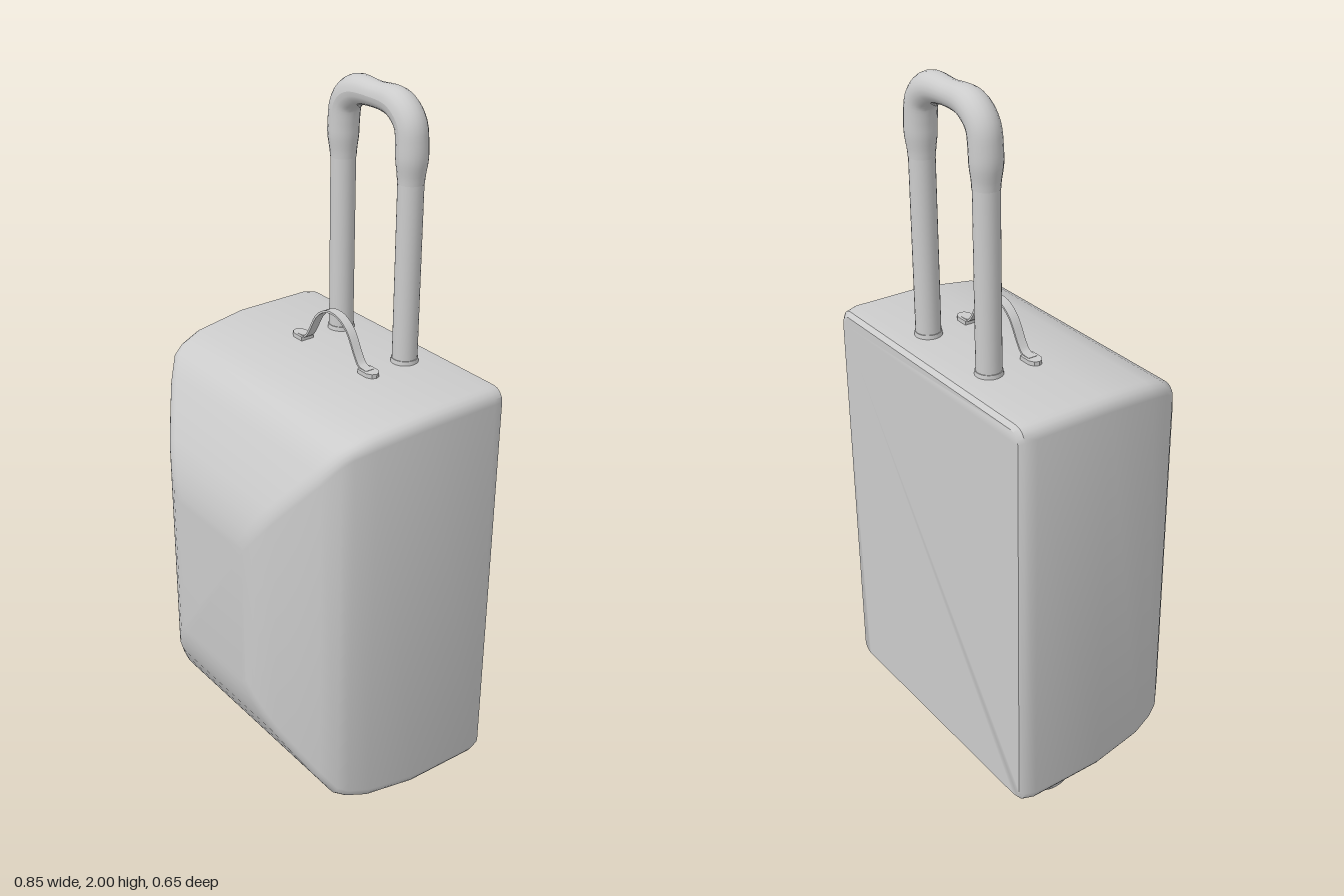
import * as THREE from 'three';
import { toCreasedNormals } from 'three/addons/utils/BufferGeometryUtils.js';

const material = new THREE.MeshStandardMaterial({ color: 0xcccccc });
const MID_Y = 0.695;

function add(parent, name, geometry, x = 0, y = 0, z = 0) {
  const mesh = new THREE.Mesh(geometry, material);
  mesh.name = name;
  mesh.position.set(x, y, z);
  parent.add(mesh);
  return mesh;
}

// Rounded rectangle, counter-clockwise seen from the front
function section([z, w, h, r]) {
  const ring = [];
  [[1, 1], [-1, 1], [-1, -1], [1, -1]].forEach(([sx, sy], corner) => {
    for (let k = 0; k <= 4; k++) {
      const a = (corner + k / 4) * Math.PI / 2;
      ring.push([sx * (w - r) + r * Math.cos(a), MID_Y + sy * (h - r) + r * Math.sin(a), z]);
    }
  });
  return ring;
}

// Suitcase shell: cross-sections lofted from back to front
function shellGeometry() {
  const rings = [
    [-0.323, 0.405, 0.578, 0.03], [-0.312, 0.417, 0.59, 0.035], [-0.28, 0.425, 0.594, 0.035],
    [-0.06, 0.425, 0.592, 0.035], [0.09, 0.411, 0.575, 0.035], [0.15, 0.396, 0.555, 0.03],
    [0.18, 0.384, 0.538, 0.03], [0.215, 0.349, 0.485, 0.03], [0.25, 0.302, 0.425, 0.03],
    [0.287, 0.25, 0.357, 0.03], [0.305, 0.218, 0.312, 0.03], [0.317, 0.188, 0.268, 0.025],
    [0.323, 0.155, 0.225, 0.02],
  ].map(section);
  const n = rings[0].length;
  const points = rings.flat();
  const index = [];
  for (let s = 0; s < rings.length - 1; s++) {
    for (let i = 0; i < n; i++) {
      const a = s * n + i, b = s * n + (i + 1) % n;
      index.push(a, b, b + n, a, b + n, a + n);
    }
  }
  // Flat back and front panels
  const last = (rings.length - 1) * n;
  for (let i = 1; i < n - 1; i++) {
    index.push(0, i + 1, i, last, last + i, last + i + 1);
  }
  const g = new THREE.BufferGeometry();
  g.setAttribute('position', new THREE.Float32BufferAttribute(points.flat(), 3));
  g.setIndex(index);
  return toCreasedNormals(g, 0.65);
}

// Grip tube: slimmer at the ends and in the middle
function gripGeometry() {
  const half = [[0.138, 1.775], [0.138, 1.87], [0.127, 1.925], [0.085, 1.96]];
  const path = new THREE.CatmullRomCurve3([
    ...half.map(([x, y]) => new THREE.Vector3(-x, y, 0)),
    new THREE.Vector3(0, 1.966, 0),
    ...half.reverse().map(([x, y]) => new THREE.Vector3(x, y, 0)),
  ], false, 'centripetal');
  const rings = 48, sides = 20;
  const g = new THREE.TubeGeometry(path, rings, 1, sides, false);
  const p = g.attributes.position, v = new THREE.Vector3();
  for (let i = 0; i <= rings; i++) {
    const t = i / rings, c = path.getPointAt(t);
    const taper = THREE.MathUtils.smoothstep(Math.min(t, 1 - t), 0, 0.12);
    const waist = THREE.MathUtils.smoothstep(Math.abs(c.x), 0, 0.11);
    const r = Math.min(0.035 + 0.007 * taper, 0.034 + 0.008 * waist);
    for (let j = 0; j <= sides; j++) {
      const k = i * (sides + 1) + j;
      v.fromBufferAttribute(p, k).sub(c).multiplyScalar(r).add(c);
      p.setXYZ(k, v.x, v.y, v.z);
    }
  }
  g.computeVertexNormals();
  return g;
}

// Thin arched ribbon for the carry strap
function strapGeometry() {
  const half = [[0.15, 1.297], [0.12, 1.301], [0.1, 1.325], [0.07, 1.376], [0.035, 1.403]];
  const curve = new THREE.SplineCurve([
    ...half.map(([x, y]) => new THREE.Vector2(-x, y)),
    new THREE.Vector2(0, 1.41),
    ...half.reverse().map(([x, y]) => new THREE.Vector2(x, y)),
  ]);
  const outer = [], inner = [];
  for (let i = 0; i <= 40; i++) {
    const c = curve.getPoint(i / 40), t = curve.getTangent(i / 40);
    outer.push(new THREE.Vector2(c.x - t.y * 0.003, c.y + t.x * 0.003));
    inner.push(new THREE.Vector2(c.x + t.y * 0.003, c.y - t.x * 0.003));
  }
  const shape = new THREE.Shape([...outer, ...inner.reverse()]);
  const g = new THREE.ExtrudeGeometry(shape, { depth: 0.026, bevelEnabled: false });
  return toCreasedNormals(g.translate(0, 0, -0.013), 0.6);
}

// Strap end tab, pointing along +x
function tabGeometry() {
  const shape = new THREE.Shape([
    [0.123, -0.02], [0.16, -0.02], [0.174, -0.012], [0.179, 0],
    [0.174, 0.012], [0.16, 0.02], [0.123, 0.02],
  ].map(([x, y]) => new THREE.Vector2(x, y)));
  return new THREE.ExtrudeGeometry(shape, { depth: 0.014, bevelEnabled: false }).rotateX(-Math.PI / 2);
}

export function createModel() {
  const model = new THREE.Group();
  model.name = 'suitcase';
  add(model, 'shell', shellGeometry());

  // Telescopic handle
  const handle = new THREE.Group();
  handle.name = 'pullHandle';
  handle.position.z = -0.217;
  model.add(handle);
  for (const side of [1, -1]) {
    add(handle, 'handleRod', new THREE.CylinderGeometry(0.034, 0.034, 0.54, 24), side * 0.138, 1.54);
    add(handle, 'rodCollar', new THREE.CylinderGeometry(0.036, 0.038, 0.016, 24), side * 0.138, 1.292);
  }
  add(handle, 'grip', gripGeometry());

  // Carry strap
  const strap = new THREE.Group();
  strap.name = 'carryStrap';
  strap.position.z = -0.09;
  model.add(strap);
  add(strap, 'strapArch', strapGeometry());
  for (const side of [1, -1]) {
    add(strap, 'strapTab', tabGeometry(), 0, 1.285).rotation.y = side > 0 ? 0 : Math.PI;
  }

  // Narrow rounded wheels under the back
  for (const x of [0.315, -0.325]) {
    add(model, 'wheel', new THREE.SphereGeometry(1, 28, 20), x, 0.083, -0.148).scale.set(0.036, 0.079, 0.078);
  }

  // Rest on the ground
  const box = new THREE.Box3().setFromObject(model);
  for (const part of model.children) part.position.y -= box.min.y;
  return model;
}
